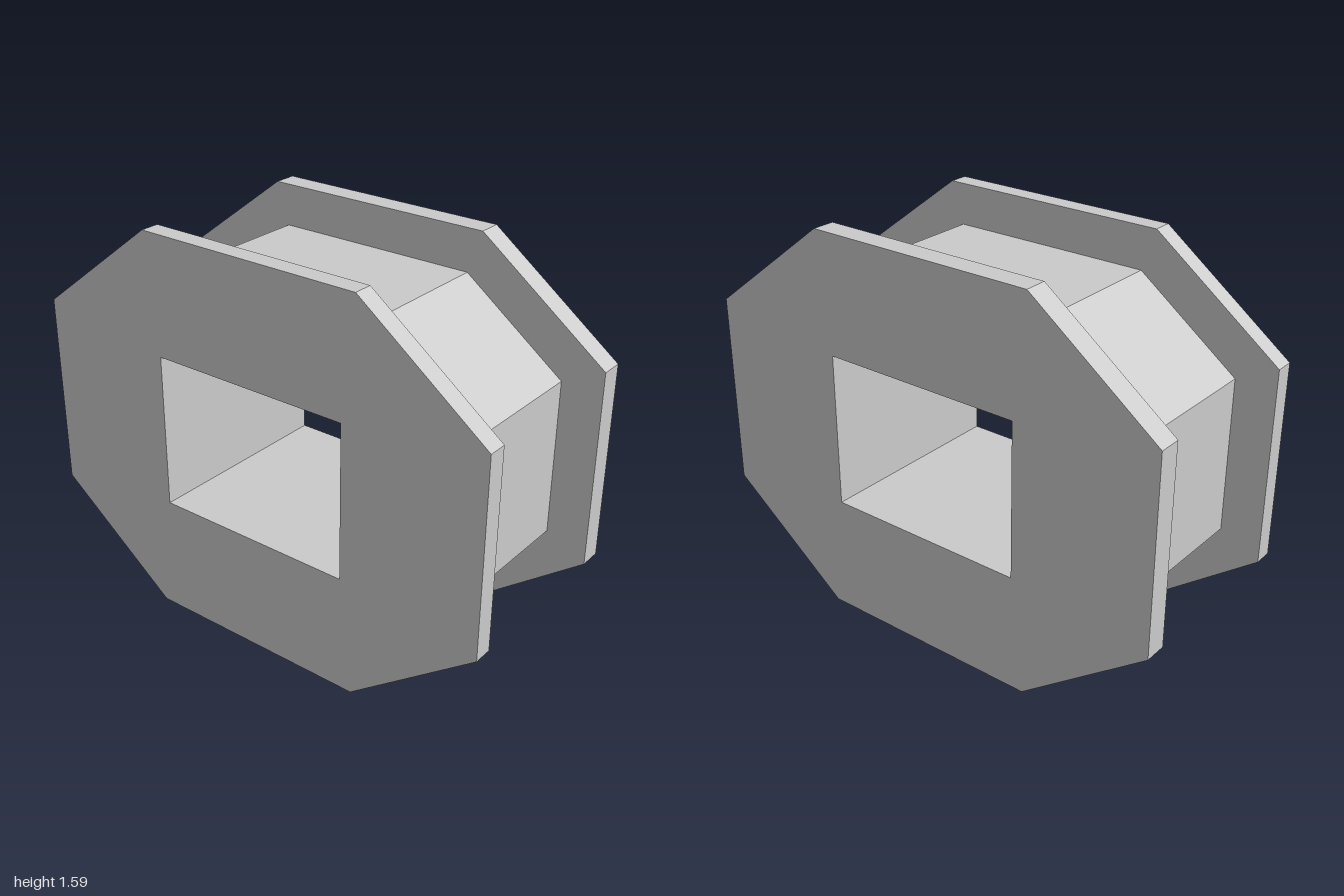
import * as THREE from 'three';

const CENTER_Y = 0.7925;
const HOLE = { x: 0.42, y: 0.3125 };

// Chamfered rectangle: half size (w, h), with corners cut at (cx, cy)
function octagonWithHole(w, h, cx, cy) {
  const corners = [
    [w, -cy], [w, cy], [cx, h], [-cx, h],
    [-w, cy], [-w, -cy], [-cx, -h], [cx, -h],
  ];
  const shape = new THREE.Shape(corners.map(([x, y]) => new THREE.Vector2(x, y)));
  const { x, y } = HOLE;
  const hole = [[-x, -y], [-x, y], [x, y], [x, -y]];
  shape.holes.push(new THREE.Path(hole.map(([a, b]) => new THREE.Vector2(a, b))));
  return shape;
}

export function createModel() {
  const group = new THREE.Group();
  group.name = 'bobbin';
  const material = new THREE.MeshStandardMaterial({ color: 0xcccccc, flatShading: true });

  function addSlab(name, shape, zBack, zFront) {
    const geometry = new THREE.ExtrudeGeometry(shape, { depth: zFront - zBack, bevelEnabled: false });
    const mesh = new THREE.Mesh(geometry, material);
    mesh.name = name;
    mesh.position.set(0, CENTER_Y, zBack);
    group.add(mesh);
  }

  const flange = octagonWithHole(1, CENTER_Y, 0.475, 0.395);
  const core = octagonWithHole(0.835, 0.625, 0.42, 0.3125);

  // End plates and the narrower core between them, all pierced by one opening
  addSlab('frontFlange', flange, 0.34, 0.417);
  addSlab('core', core, -0.325, 0.34);
  addSlab('backFlange', flange, -0.417, -0.325);
  return group;
}
